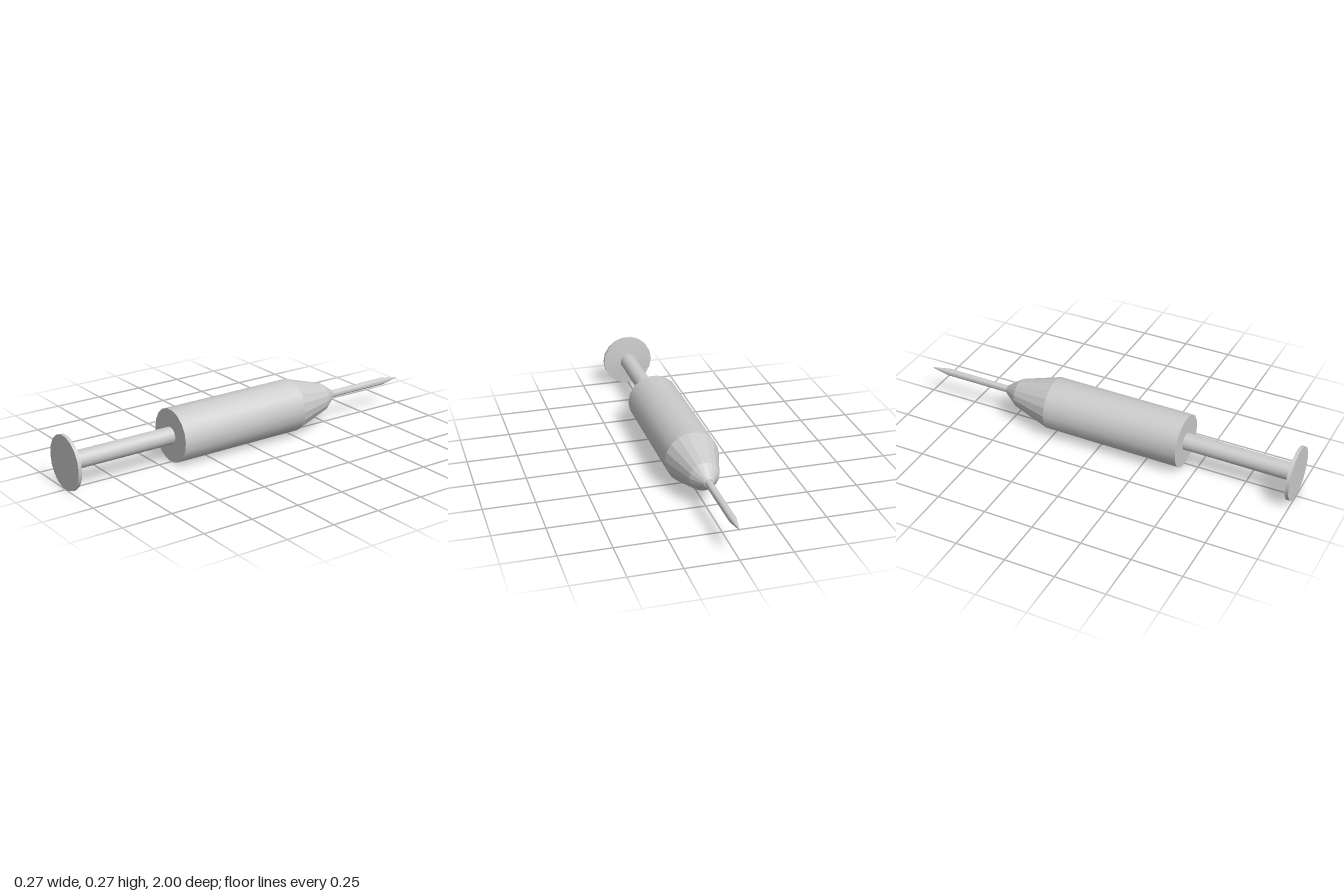
import * as THREE from 'three';
import { toCreasedNormals } from 'three/addons/utils/BufferGeometryUtils.js';

const SIDES = 18;

// Turned part from [radius, z] pairs, listed from the needle tip towards the front
function turned(name, profile, crease) {
  const points = profile.map(([r, z]) => new THREE.Vector2(r, z));
  const lathe = new THREE.LatheGeometry(points, SIDES, Math.PI / 2);
  const mesh = new THREE.Mesh(
    toCreasedNormals(lathe, crease),
    new THREE.MeshStandardMaterial({ color: 0xcccccc })
  );
  mesh.name = name;
  return mesh;
}

export function createModel() {
  const smooth = 0.4, faceted = 0.05;
  const syringe = new THREE.Group();
  syringe.name = 'syringe';
  syringe.add(
    // Thin needle with a conical point
    turned('needle', [[0, -1], [0.018, -0.89], [0.018, -0.54]], smooth),
    // Two-step tapered nose
    turned('nose', [[0, -0.545], [0.022, -0.545], [0.072, -0.475], [0.133, -0.275]], faceted),
    // Main barrel, closed at the front around the rod
    turned('barrel', [[0.133, -0.275], [0.133, 0.433], [0, 0.433]], smooth),
    // Plunger rod, pinched in where it meets the thumb plate
    turned('plungerRod', [[0.043, 0.43], [0.043, 0.967], [0.02, 0.974], [0.02, 0.98]], smooth),
    // Thumb plate with a shallow conical back
    turned('thumbPlate', [[0, 0.972], [0.04, 0.975], [0.133, 0.983], [0.133, 1], [0, 1]], smooth)
  );
  // Lay the turning axis along z, needle tip raised very slightly
  syringe.rotation.x = Math.PI / 2 + 0.006;
  syringe.position.y = 0.137;

  const model = new THREE.Group();
  model.add(syringe);
  return model;
}
